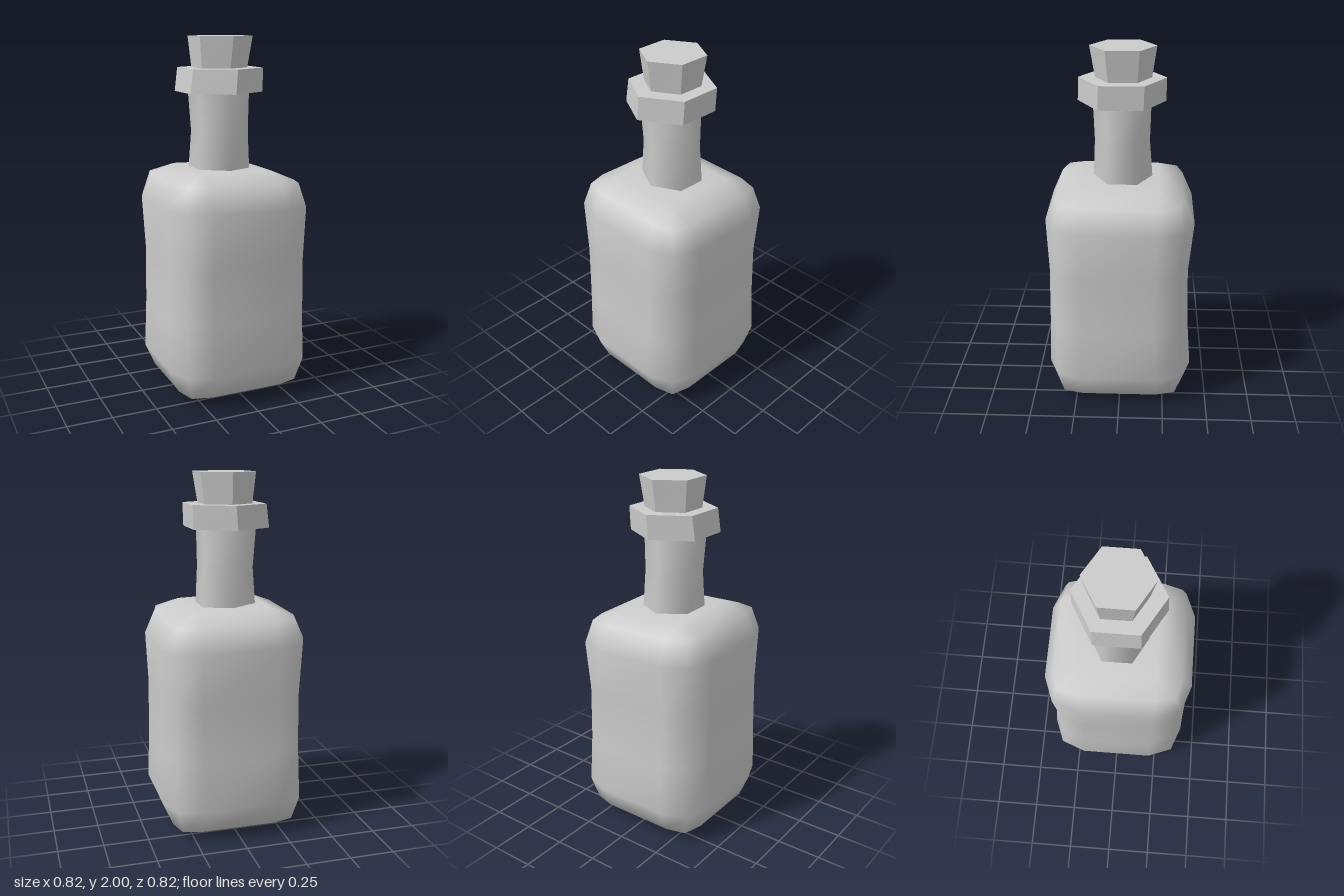
import * as THREE from 'three';
import { mergeVertices } from 'three/addons/utils/BufferGeometryUtils.js';

// Skin a stack of closed rings (each a list of [x, y, z]), bottom to top
function loft(name, rings, { flat = false, caps = true } = {}) {
  const n = rings[0].length, last = (rings.length - 1) * n;
  const points = rings.flat();
  const index = [];
  for (let r = 0; r < rings.length - 1; r++) {
    for (let i = 0; i < n; i++) {
      const a = r * n + i, b = r * n + (i + 1) % n;
      index.push(a, b, b + n, a, b + n, a + n);
    }
  }
  if (caps) {
    for (let i = 1; i < n - 1; i++) {
      index.push(0, i + 1, i);
      index.push(last, last + i, last + i + 1);
    }
  }
  let geometry = new THREE.BufferGeometry();
  geometry.setAttribute('position', new THREE.Float32BufferAttribute(points.flat(), 3));
  geometry.setIndex(index);
  geometry = mergeVertices(geometry, 1e-5);
  if (flat) geometry = geometry.toNonIndexed();
  geometry.computeVertexNormals();
  const material = new THREE.MeshStandardMaterial({ color: 0xcccccc, flatShading: flat });
  const mesh = new THREE.Mesh(geometry, material);
  mesh.name = name;
  return mesh;
}

// Hexagon with corners on the z axis; rx is half the width across the flats
function hexRing(y, cx, cz, rx, rz) {
  return Array.from({ length: 6 }, (_, i) => {
    const t = i * Math.PI / 3;
    return [cx + rx * Math.sin(t) / Math.sin(Math.PI / 3), y, cz + rz * Math.cos(t)];
  });
}

// Square with bevelled corners: c = side offset, d = corner offset, back = inward dent at -z
function bodyRing([y, c, d, back = 0]) {
  const a = 0.21, ring = [];
  for (let k = 0; k < 4; k++) {
    for (let [x, z] of [[a, a + c], [a + d, a + d], [a + c, a]]) {
      for (let q = 0; q < k; q++) [x, z] = [z, -x];
      if (z < 0) z += back;
      // the shoulders lean slightly
      ring.push([x, y > 1 ? y - 0.03 * x + 0.015 * z : y, z]);
    }
  }
  return ring;
}

export function createModel() {
  const group = new THREE.Group();
  group.name = 'bottle';

  // Rounded square body with a slight waist
  const body = loft('body', [
    [0, 0, 0],
    [0.055, 0.14, 0.11],
    [0.19, 0.198, 0.143],
    [0.48, 0.189, 0.137, 0.012],
    [0.79, 0.184, 0.134, 0.014],
    [1.09, 0.198, 0.143],
    [1.22, 0.14, 0.11],
    [1.276, 0, 0],
  ].map(bodyRing));

  // Waisted hexagonal neck
  const neck = loft('neck', [
    hexRing(1.25, -0.013, -0.01, 0.152, 0.166),
    hexRing(1.48, -0.011, -0.006, 0.14, 0.152),
    hexRing(1.71, -0.018, -0.004, 0.15, 0.16),
  ], { caps: false });

  // Lip around the mouth
  const collar = loft('collar', [
    hexRing(1.7, -0.018, -0.003, 0.212, 0.24),
    hexRing(1.83, -0.007, -0.007, 0.206, 0.238),
  ], { flat: true });

  // Tapered stopper
  const stopper = loft('stopper', [
    hexRing(1.81, -0.01, -0.012, 0.132, 0.15),
    hexRing(2, -0.005, -0.01, 0.155, 0.18),
  ], { flat: true });

  group.add(body, neck, collar, stopper);
  return group;
}
